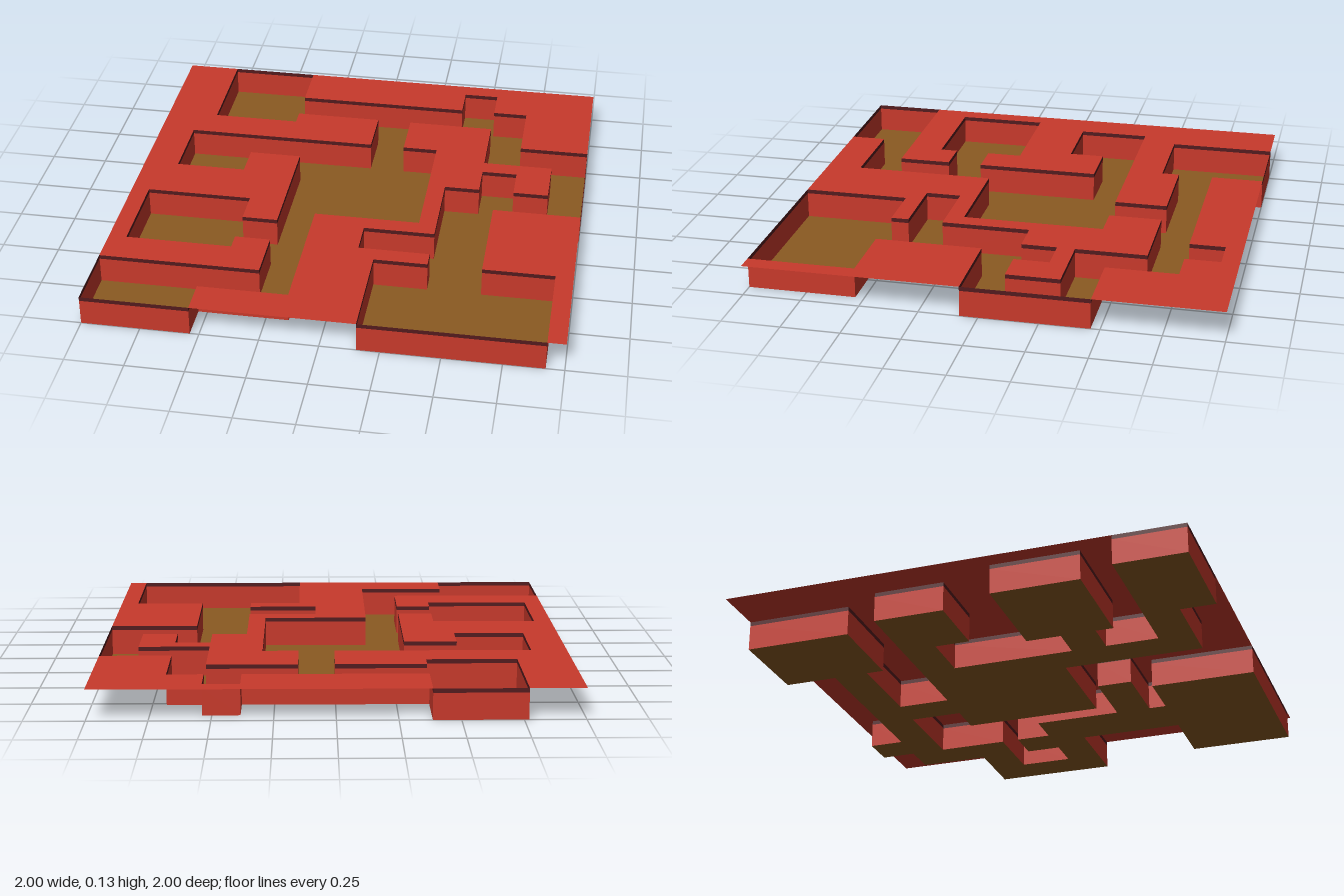
import * as THREE from 'three';
import { mergeGeometries } from 'three/addons/utils/BufferGeometryUtils.js';

const N = 26, CELL = 2 / N, TOP = 0.13, TRIM = 0.112;

// Raised ground as rectangles on the cell grid: x0, x1, z0, z1
const RAISED = [
  [0, 3, 0, 8], [3, 8, 6, 8], [8, 13, 5, 8], [0, 2, 8, 12], [6, 9, 10, 12],
  [0, 9, 12, 15], [7, 9, 15, 17], [0, 1, 15, 20], [7, 9, 19, 20], [0, 9, 20, 22],
  [6, 11, 24, 26], [11, 18, 16, 17], [11, 14, 17, 19], [11, 18, 19, 20], [11, 15, 20, 26],
  [17, 18, 12, 16], [17, 20, 8, 12], [15, 20, 5, 8], [20, 24, 9, 10], [22, 24, 10, 12],
  [8, 26, 0, 1], [8, 18, 1, 3], [20, 26, 1, 3], [22, 26, 3, 7],
  [21, 26, 14, 20], [25, 26, 20, 26],
];

const at = (i) => i * CELL - 1;
const isRaised = (x, z) => RAISED.some(([a, b, c, d]) => x >= a && x < b && z >= c && z < d);
const isFloor = (x, z) => x >= 0 && z >= 0 && x < N && z < N && !isRaised(x, z);

// Consecutive indices with the same non-zero value: [start, end, value]
function runs(test) {
  const out = [];
  for (let i = 0; i < N; i++) {
    const v = test(i), last = out[out.length - 1];
    if (!v) continue;
    if (last && last[1] === i && last[2] === v) last[1]++;
    else out.push([i, i + 1, v]);
  }
  return out;
}

// Horizontal slab surface covering all cells that pass the test
function sheet(test, y) {
  const parts = [];
  for (let z = 0; z < N; z++) {
    for (const [a, b] of runs((x) => (test(x, z) ? 1 : 0))) {
      parts.push(new THREE.PlaneGeometry((b - a) * CELL, CELL)
        .rotateX(-Math.PI / 2)
        .translate((at(a) + at(b)) / 2, y, at(z + 0.5)));
    }
  }
  return mergeGeometries(parts);
}

// Upright strips along every border of the sunken floor
function borders(y0, y1) {
  const parts = [];
  for (let line = 0; line <= N; line++) {
    for (const alongX of [true, false]) {
      const side = (i, k) => (alongX ? isFloor(i, k) : isFloor(k, i));
      // +1 faces the positive side, -1 the negative side
      const edge = (i) => Number(side(i, line)) - Number(side(i, line - 1));
      for (const [a, b, dir] of runs(edge)) {
        const mid = (at(a) + at(b)) / 2;
        const g = new THREE.PlaneGeometry((b - a) * CELL, y1 - y0);
        g.rotateY((alongX ? 0 : Math.PI / 2) + (dir < 0 ? Math.PI : 0));
        g.translate(alongX ? mid : at(line), (y0 + y1) / 2, alongX ? at(line) : mid);
        parts.push(g);
      }
    }
  }
  return mergeGeometries(parts);
}

export function createModel() {
  const material = (name, color) => {
    const m = new THREE.MeshStandardMaterial({ color, side: THREE.DoubleSide });
    m.name = name;
    return m;
  };
  const red = material('red', 0xc8392b);
  const brown = material('brown', 0x8b5a22);
  const darkRed = material('dark red', 0x521a1d);

  const group = new THREE.Group();
  group.name = 'mazeTerrain';
  const add = (name, geometry, mat) => {
    const mesh = new THREE.Mesh(geometry, mat);
    mesh.name = name;
    group.add(mesh);
  };
  add('sunkenFloor', sheet(isFloor, 0), brown);
  add('raisedGround', sheet(isRaised, TOP), red);
  add('walls', borders(0, TRIM), red);
  add('wallTrim', borders(TRIM, TOP), darkRed);
  return group;
}
